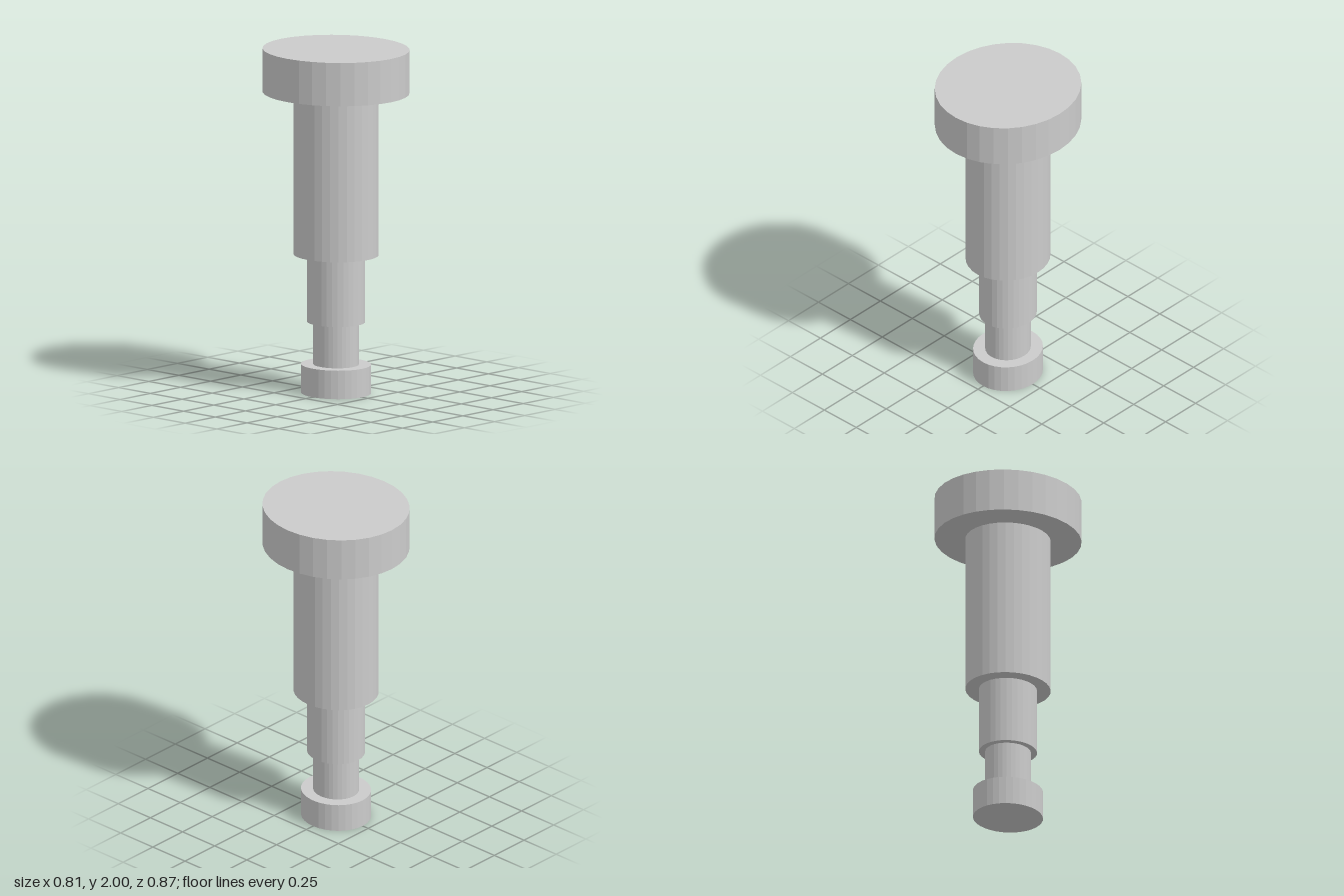
import * as THREE from 'three';

const SIDES = 32;
const DEPTH_RATIO = 1.072; // sections are slightly deeper than wide

// name, half width in x, bottom y, top y
const SECTIONS = [
  ['foot', 0.193, 0, 0.166],
  ['neck', 0.126, 0.166, 0.413],
  ['lowerShaft', 0.16, 0.413, 0.805],
  ['upperShaft', 0.235, 0.805, 1.748],
  ['head', 0.405, 1.748, 2],
];

export function createModel() {
  const group = new THREE.Group();
  group.name = 'steppedPin';
  const material = new THREE.MeshStandardMaterial({ color: 0xcccccc, flatShading: true });

  // Stack of elliptical cylinders from foot to head
  for (const [name, radius, bottom, top] of SECTIONS) {
    const geometry = new THREE.CylinderGeometry(radius, radius, top - bottom, SIDES);
    geometry.scale(1, 1, DEPTH_RATIO);
    geometry.translate(0, (bottom + top) / 2, 0);
    const mesh = new THREE.Mesh(geometry, material);
    mesh.name = name;
    group.add(mesh);
  }
  return group;
}
